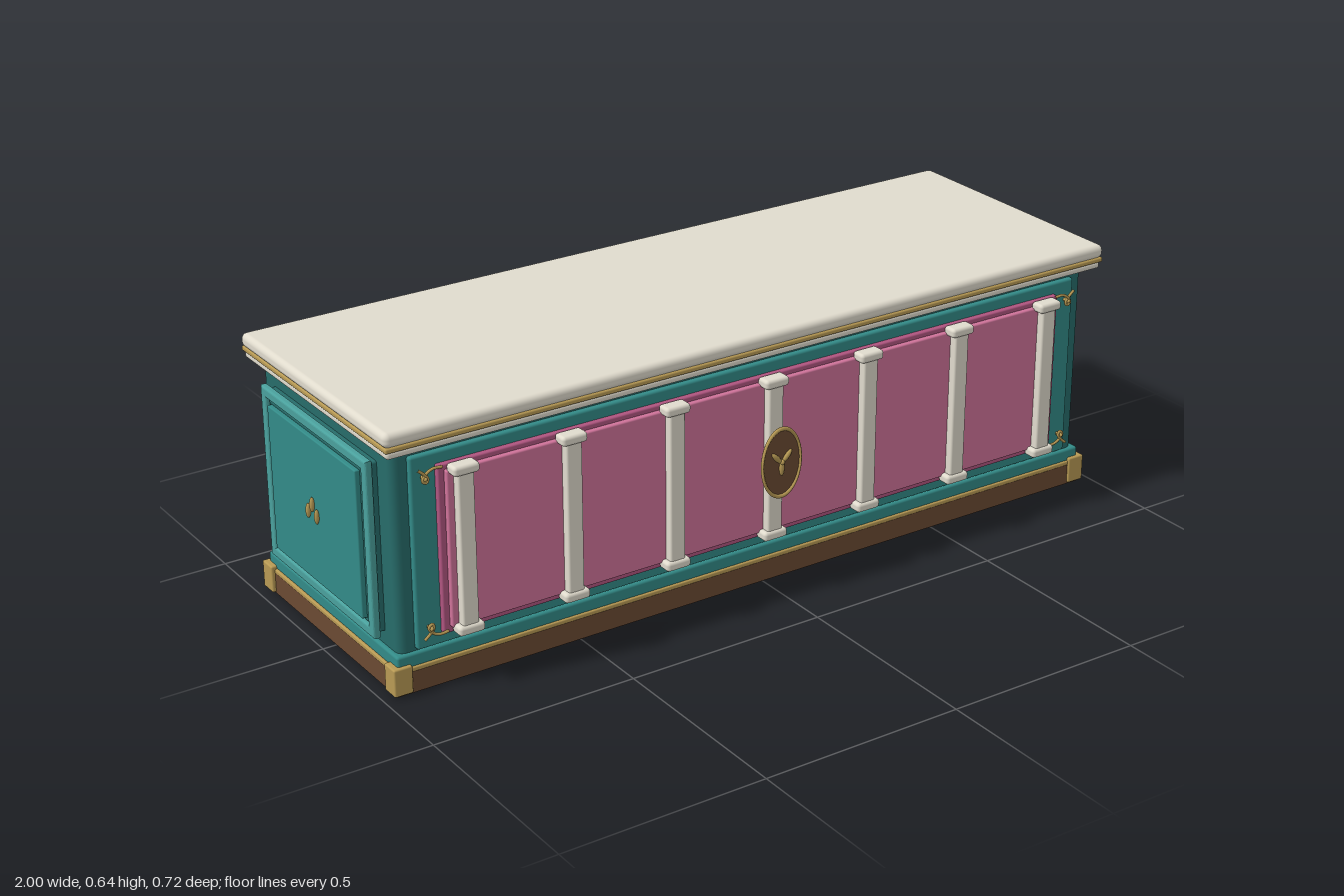
import * as THREE from 'three';
import { RoundedBoxGeometry } from 'three/addons/geometries/RoundedBoxGeometry.js';

const mat = (color) => new THREE.MeshStandardMaterial({ color });
const M = {
  darkTeal: mat(0x276c6a), teal: mat(0x338b88), lightTeal: mat(0x4aa19d),
  pink: mat(0xd0739a), darkPink: mat(0xb05580), cream: mat(0xe0dbcd),
  gold: mat(0xb89a54), brown: mat(0x6b4a33), darkBrown: mat(0x513a28),
};
const CZ = -0.0235; // depth centre of the cabinet body

function add(parent, name, geo, material, x = 0, y = 0, z = 0) {
  const m = new THREE.Mesh(geo, material);
  m.name = name;
  m.position.set(x, y, z);
  parent.add(m);
  return m;
}

// Rounded box given by its extents
function block(parent, name, material, [x0, x1], [y0, y1], [z0, z1], r = 0.005) {
  const geo = new RoundedBoxGeometry(x1 - x0, y1 - y0, z1 - z0, 3, r);
  return add(parent, name, geo, material, (x0 + x1) / 2, (y0 + y1) / 2, (z0 + z1) / 2);
}

function rectangle(PathType, w, h) {
  const p = new PathType();
  p.moveTo(-w / 2, -h / 2);
  p.lineTo(w / 2, -h / 2);
  p.lineTo(w / 2, h / 2);
  p.lineTo(-w / 2, h / 2);
  p.closePath();
  return p;
}

// Bevelled rectangular moulding, lying on z = 0 and facing +z
function frameGeometry(w, h, bar, depth, bevel) {
  const shape = rectangle(THREE.Shape, w - 2 * bevel, h - 2 * bevel);
  shape.holes.push(rectangle(THREE.Path, w - 2 * bar + 2 * bevel, h - 2 * bar + 2 * bevel));
  const geo = new THREE.ExtrudeGeometry(shape, {
    depth: depth - 2 * bevel, bevelEnabled: true, bevelThickness: bevel, bevelSize: bevel, bevelSegments: 3,
  });
  return geo.translate(0, 0, bevel);
}

// Raised panel: backing plate, moulding, field
function raisedPanel(name, w, h) {
  const g = new THREE.Group();
  g.name = name;
  block(g, 'panelBacking', M.darkTeal, [-w / 2 + 0.008, w / 2 - 0.008], [-h / 2 + 0.008, h / 2 - 0.008], [-0.01, 0.015]);
  add(g, 'panelMoulding', frameGeometry(w, h, 0.024, 0.018, 0.005), M.lightTeal, 0, 0, 0.014);
  add(g, 'panelInnerBead', frameGeometry(w - 0.062, h - 0.054, 0.008, 0.012, 0.002), M.darkTeal, 0, 0, 0.014);
  block(g, 'panelField', M.teal, [-w / 2 + 0.04, w / 2 - 0.04], [-h / 2 + 0.034, h / 2 - 0.034], [0.01, 0.037], 0.003);
  return g;
}

// Small elongated bead used in the emblems
function leaf(parent, x, y, z, tilt = 0, size = 0.018) {
  const m = add(parent, 'emblemLeaf', new THREE.SphereGeometry(1, 16, 12), M.gold, x, y, z);
  m.scale.set(size / 3, size, 0.006);
  m.rotation.z = tilt;
}

export function createModel() {
  const root = new THREE.Group();
  root.name = 'counter';

  // Plinth with gilt band and corner blocks
  block(root, 'plinth', M.brown, [-0.968, 0.968], [0, 0.056], [-0.334, 0.287], 0.004);
  block(root, 'plinthBand', M.gold, [-0.968, 0.968], [0.053, 0.064], [-0.335, 0.288], 0.003);
  for (const sx of [-1, 1])
    for (const z of [0.27, -0.317])
      block(root, 'plinthCorner', M.gold, [sx * 0.954 - 0.023, sx * 0.954 + 0.023], [0.005, 0.072], [z - 0.023, z + 0.023], 0.004);
  block(root, 'baseMoulding', M.teal, [-0.963, 0.963], [0.062, 0.095], [-0.331, 0.284], 0.006);

  // Body
  block(root, 'body', M.darkTeal, [-0.953, 0.953], [0.07, 0.578], [-0.321, 0.274], 0.02);

  // Worktop layers
  block(root, 'worktopLower', M.cream, [-0.978, 0.978], [0.576, 0.595], [-0.356, 0.309], 0.008);
  block(root, 'worktopBand', M.gold, [-0.982, 0.982], [0.593, 0.605], [-0.36, 0.313], 0.004);
  block(root, 'worktop', M.cream, [-0.984, 0.984], [0.603, 0.637], [-0.361, 0.314], 0.014);

  // Front plate and pink panel
  block(root, 'frontPlate', M.teal, [-0.914, 0.914], [0.1, 0.558], [0.26, 0.287], 0.006);
  block(root, 'frontPanelBorder', M.darkPink, [-0.855, 0.855], [0.128, 0.53], [0.28, 0.3], 0.004);
  block(root, 'frontPanel', M.pink, [-0.84, 0.84], [0.144, 0.518], [0.29, 0.312], 0.004);

  // Pilasters
  for (let i = -3; i <= 3; i++) {
    const p = new THREE.Group();
    p.name = 'pilaster';
    p.position.x = i * 0.268;
    block(p, 'pilasterShaft', M.cream, [-0.02, 0.02], [0.135, 0.528], [0.305, 0.332], 0.005);
    block(p, 'pilasterCapital', M.cream, [-0.032, 0.032], [0.51, 0.533], [0.3, 0.338], 0.008);
    block(p, 'pilasterFoot', M.cream, [-0.032, 0.032], [0.13, 0.153], [0.3, 0.338], 0.008);
    root.add(p);
  }

  // Gilt scrolls at the four corners of the front panel
  for (const sx of [-1, 1])
    for (const sy of [-1, 1]) {
      const pts = [[0.845, 0.196], [0.868, 0.197], [0.885, 0.188], [0.893, 0.174], [0.884, 0.168], [0.88, 0.177], [0.89, 0.19], [0.904, 0.202]]
        .map(([x, y]) => new THREE.Vector3(sx * x, 0.331 + sy * y, 0.302));
      const geo = new THREE.TubeGeometry(new THREE.CatmullRomCurve3(pts), 40, 0.0035, 8);
      add(root, 'cornerScroll', geo, M.gold);
      const bud = add(root, 'scrollBud', new THREE.SphereGeometry(0.006, 12, 8), M.gold, sx * 0.887, 0.331 + sy * 0.178, 0.298);
      bud.scale.z = 2;
    }

  // Oval medallion with rim and leaf emblem
  const medallion = new THREE.Group();
  medallion.name = 'medallion';
  medallion.position.set(0, 0.332, 0.345);
  const disc = add(medallion, 'medallionDisc', new THREE.CylinderGeometry(1, 0.93, 0.012, 48), M.brown, 0, 0, 0.002);
  disc.rotation.x = Math.PI / 2;
  disc.scale.set(0.052, 1, 0.082);
  const rim = add(medallion, 'medallionRim', new THREE.TorusGeometry(1, 0.06, 10, 64), M.gold, 0, 0, 0.008);
  rim.scale.set(0.053, 0.084, 0.075);
  const mount = add(medallion, 'medallionMount', new THREE.CylinderGeometry(0.025, 0.025, 0.02, 24), M.darkBrown, 0, 0, -0.01);
  mount.rotation.x = Math.PI / 2;
  leaf(medallion, -0.014, 0.014, 0.009, 0.75, 0.019);
  leaf(medallion, 0.014, 0.014, 0.009, -0.75, 0.019);
  leaf(medallion, 0, -0.012, 0.009, 0, 0.02);
  add(medallion, 'emblemStud', new THREE.SphereGeometry(0.006, 12, 8), M.gold, 0, 0.002, 0.011);
  root.add(medallion);

  // End panels with their three-leaf emblem
  for (const s of [-1, 1]) {
    const end = raisedPanel('endPanel', 0.492, 0.422);
    end.position.set(s * 0.953, 0.331, CZ);
    end.rotation.y = s * Math.PI / 2;
    leaf(end, -0.02, -0.006, 0.041);
    leaf(end, 0, 0.016, 0.041);
    leaf(end, 0.02, -0.006, 0.041);
    root.add(end);
  }

  // Three back panels
  for (const x of [-0.62, 0, 0.62]) {
    const back = raisedPanel('backPanel', 0.56, 0.41);
    back.position.set(x, 0.332, -0.321);
    back.rotation.y = Math.PI;
    root.add(back);
  }
  return root;
}
